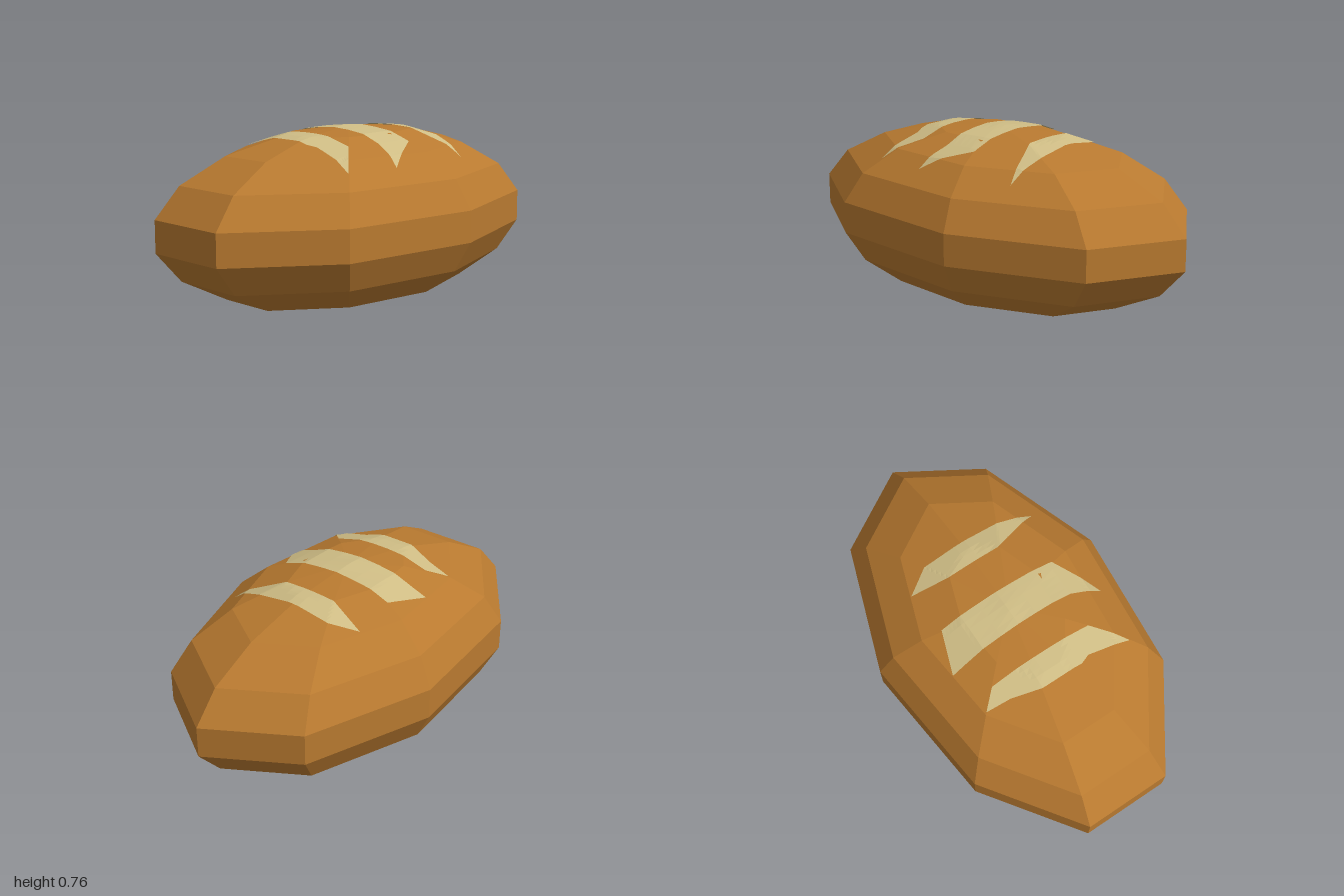
import * as THREE from 'three';

const RX = 0.624, RY = 0.428, RZ = 1.047, CZ = 0.031;
const FLOOR = Math.cos(THREE.MathUtils.degToRad(40)); // where the ball is cut flat

// Nine-sided stretched ball with a flat underside
function loafGeometry() {
  const geo = new THREE.SphereGeometry(1, 9, 9).rotateY(-Math.PI / 2);
  const p = geo.attributes.position;
  for (let i = 0; i < p.count; i++) p.setY(i, Math.max(p.getY(i), -FLOOR));
  geo.scale(RX, RY, RZ).translate(0, RY * FLOOR, CZ);
  const flat = geo.toNonIndexed();
  flat.computeVertexNormals();
  return flat;
}

// Height of the convex crust: the lowest of its upward-facing planes
function crustHeight(geo) {
  const p = geo.attributes.position, planes = [];
  for (let i = 0; i < p.count; i += 3) {
    const [a, b, c] = [0, 1, 2].map(k => new THREE.Vector3().fromBufferAttribute(p, i + k));
    const plane = new THREE.Plane().setFromCoplanarPoints(a, b, c);
    if (plane.normal.y > 0.05) planes.push(plane);
  }
  return (x, z) => Math.min(...planes.map(({ normal: n, constant: d }) => -(n.x * x + n.z * z + d) / n.y));
}

// Thin strip draped over the crust; stations are [x, back z, front z]
function scoreGeometry(stations, height) {
  const SUB = 5, ROWS = 5, cols = (stations.length - 1) * SUB;
  const geo = new THREE.PlaneGeometry(1, 1, cols, ROWS).rotateX(-Math.PI / 2);
  const p = geo.attributes.position;
  for (let i = 0; i < p.count; i++) {
    const t = (p.getX(i) + 0.5) * (stations.length - 1);
    const k = Math.min(Math.floor(t + 1e-6), stations.length - 2);
    const [x, back, front] = stations[k].map((v, n) => THREE.MathUtils.lerp(v, stations[k + 1][n], t - k));
    const z = THREE.MathUtils.lerp(back, front, p.getZ(i) + 0.5);
    p.setXYZ(i, x, height(x, z) + 0.005, z);
  }
  geo.computeVertexNormals();
  return geo;
}

const SCORES = {
  backScore: [[-0.32, -0.29, -0.29], [-0.2, -0.365, -0.262], [-0.14, -0.365, -0.248],
    [0.13, -0.365, -0.248], [0.2, -0.365, -0.275], [0.38, -0.34, -0.34]],
  middleScore: [[-0.37, 0.135, 0.135], [-0.3, -0.063, 0.13], [-0.2, -0.063, 0.125],
    [0.28, -0.063, 0.115], [0.3, -0.063, 0.12], [0.43, 0.155, 0.155]],
  frontScore: [[-0.34, 0.36, 0.36], [-0.26, 0.285, 0.37], [-0.22, 0.285, 0.375], [-0.08, 0.285, 0.42],
    [0.13, 0.285, 0.42], [0.18, 0.285, 0.4], [0.26, 0.285, 0.41], [0.4, 0.425, 0.425]],
};

export function createModel() {
  const group = new THREE.Group();
  group.name = 'breadLoaf';
  const add = (name, geo, mat) => {
    const mesh = new THREE.Mesh(geo, mat);
    mesh.name = name;
    group.add(mesh);
  };

  // Crust
  const loaf = loafGeometry();
  add('crust', loaf, new THREE.MeshStandardMaterial({ color: 0xb97a30, flatShading: true }));

  // Pale scoring marks across the top
  const pale = new THREE.MeshStandardMaterial({ color: 0xcfbd85, flatShading: true, side: THREE.DoubleSide });
  const height = crustHeight(loaf);
  for (const [name, stations] of Object.entries(SCORES)) add(name, scoreGeometry(stations, height), pale);

  return group;
}
